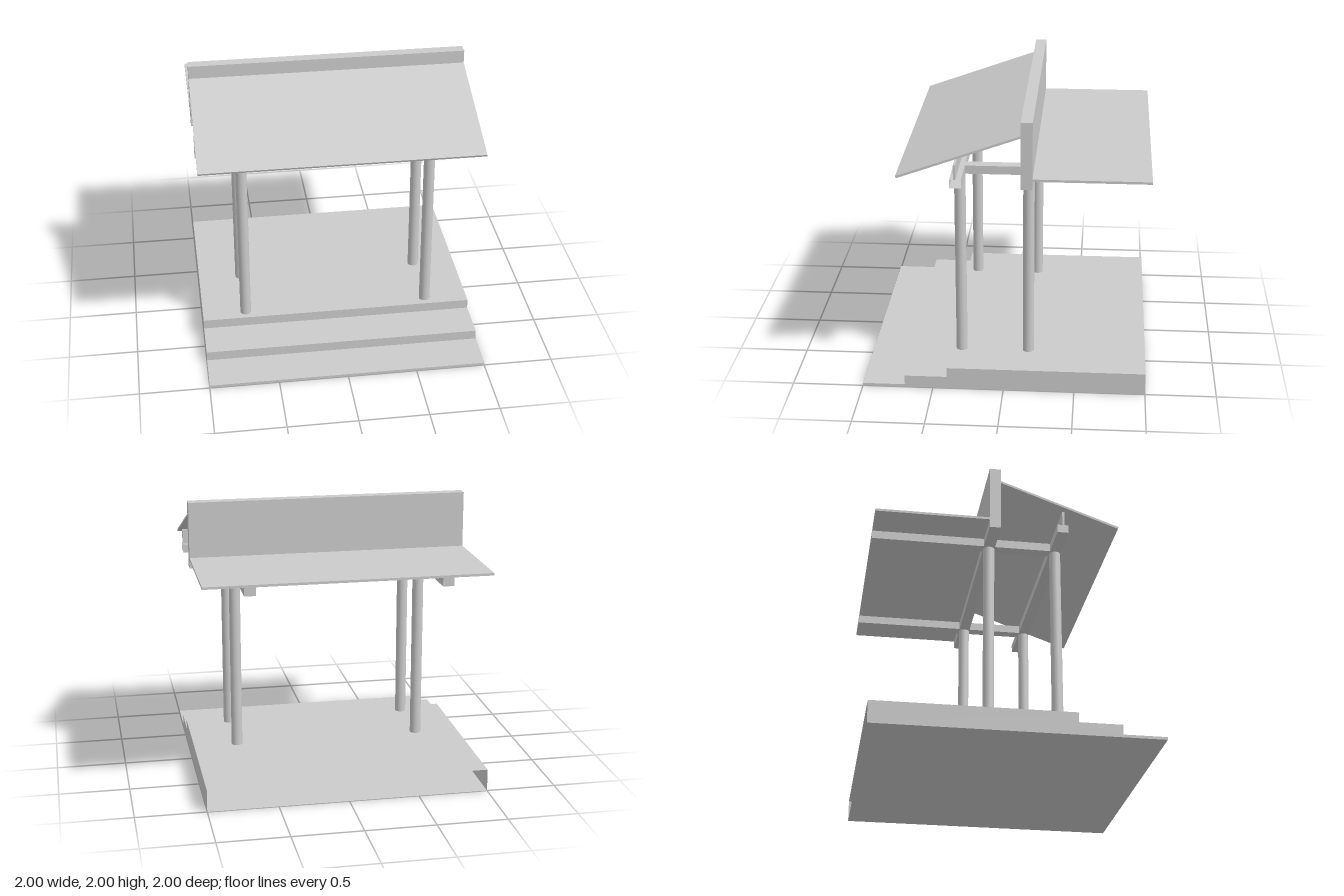
import * as THREE from 'three';

const grey = new THREE.MeshStandardMaterial({ color: 0xcccccc });
const open = new THREE.MeshStandardMaterial({ color: 0xcccccc, side: THREE.DoubleSide });

// Box given by its lower and upper corner
function boxBetween([x0, y0, z0], [x1, y1, z1]) {
  return new THREE.BoxGeometry(x1 - x0, y1 - y0, z1 - z0)
    .translate((x0 + x1) / 2, (y0 + y1) / 2, (z0 + z1) / 2);
}

// Side profile of [z, y] points swept across the full width in x
function sweepX(points) {
  const shape = new THREE.Shape(points.map(([z, y]) => new THREE.Vector2(-z, y)));
  return new THREE.ExtrudeGeometry(shape, { depth: 2, bevelEnabled: false })
    .translate(0, 0, -1).rotateY(Math.PI / 2);
}

// Removes the faces pointing along a direction, leaving that end open
function openEnd(geometry, direction) {
  const flat = geometry.index ? geometry.toNonIndexed() : geometry;
  const p = flat.attributes.position;
  const kept = [];
  const tri = new THREE.Triangle();
  const n = new THREE.Vector3();
  for (let i = 0; i < p.count; i += 3) {
    tri.setFromAttributeAndIndices(p, i, i + 1, i + 2);
    if (tri.getNormal(n).dot(direction) > 0.99) continue;
    for (const v of [tri.a, tri.b, tri.c]) kept.push(v.x, v.y, v.z);
  }
  const result = new THREE.BufferGeometry();
  result.setAttribute('position', new THREE.Float32BufferAttribute(kept, 3));
  result.computeVertexNormals();
  return result;
}

export function createModel() {
  const model = new THREE.Group();
  model.name = 'porch';
  const add = (name, geometry, material = grey) => {
    const mesh = new THREE.Mesh(geometry, material);
    mesh.name = name;
    model.add(mesh);
    return mesh;
  };

  // Stepped floor, a shell open at the back
  const floor = sweepX([
    [1, 0], [1, 0.02], [0.7, 0.02], [0.7, 0.09],
    [0.4, 0.09], [0.4, 0.16], [-1, 0.16], [-1, 0],
  ]);
  add('steppedFloor', openEnd(floor, new THREE.Vector3(0, 0, -1)), open);

  // Posts and the joists they carry
  const post = new THREE.CylinderGeometry(0.04, 0.04, 1.365, 24);
  for (const [side, x] of [['right', -0.68], ['left', 0.68]]) {
    add(side + 'FrontPost', post).position.set(x, 0.8425, 0.32);
    add(side + 'BackPost', post).position.set(x, 0.8425, -0.16);
    add(side + 'FrontJoist', boxBetween([x - 0.04, 1.525, -0.12], [x + 0.04, 1.585, 0.28]));
    add(side + 'BackJoist', boxBetween([x - 0.04, 1.525, -1], [x + 0.04, 1.585, -0.2]));
  }

  // Front beam with an open end, and the thin board standing on it
  const beam = boxBetween([-1, 1.525, 0.28], [1, 1.585, 0.36]);
  add('frontBeam', openEnd(beam, new THREE.Vector3(1, 0, 0)), open);
  add('uprightBoard', boxBetween([-1, 1.585, 0.317], [1, 1.69, 0.333]));

  // Wall between the two roofs
  add('parapetWall', boxBetween([-1, 1.525, -0.2], [1, 2, -0.12]));

  // Flat back roof and sloping front roof
  add('flatRoof', boxBetween([-1, 1.585, -1], [1, 1.602, -0.2]));
  add('slopingRoof', sweepX([
    [0.717, 1.588], [0.723, 1.603], [-0.12, 1.905], [-0.12, 1.889],
  ]));

  return model;
}
